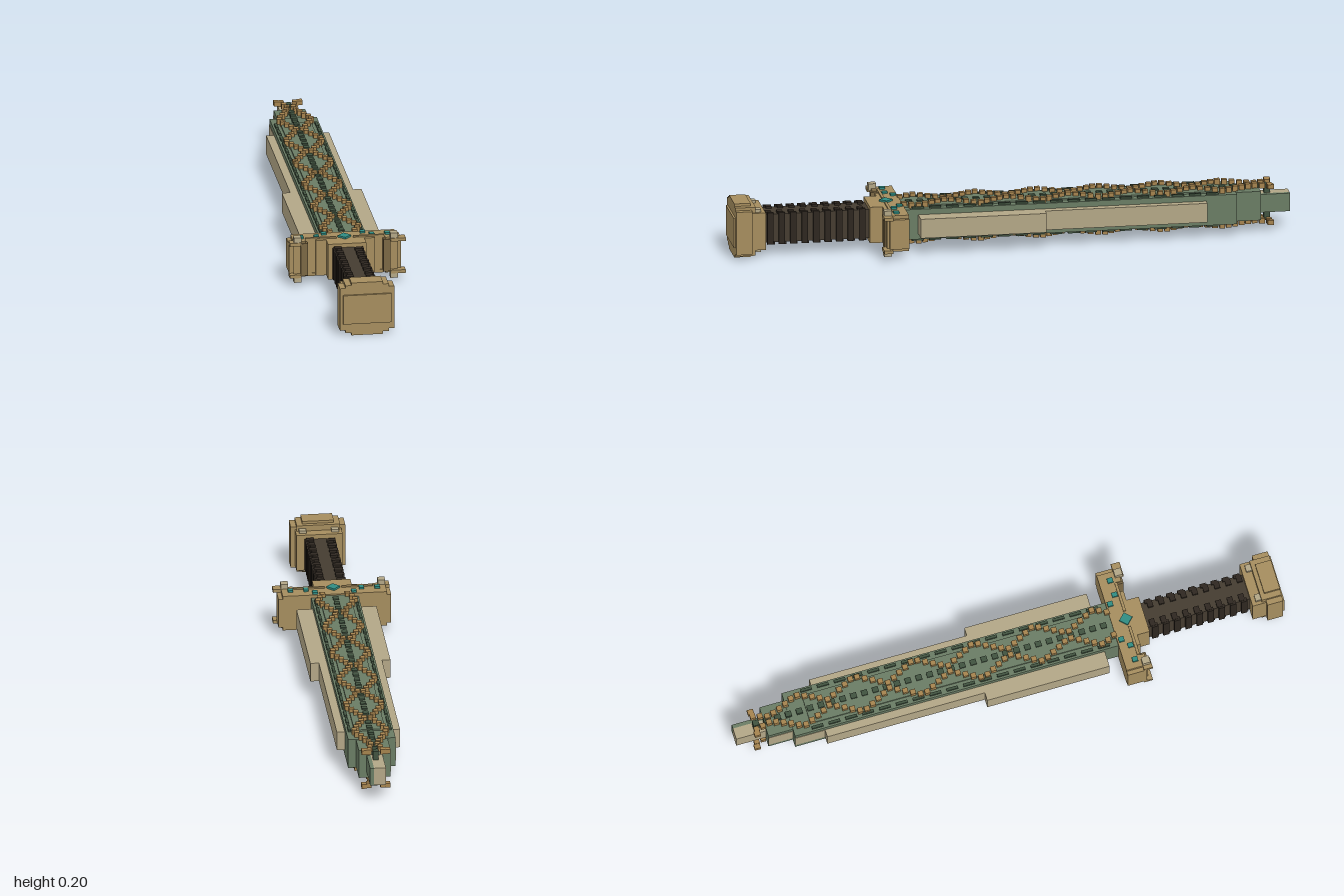
import * as THREE from 'three';

const mat = (name, hex) => {
  const m = new THREE.MeshStandardMaterial({ color: hex });
  m.name = name;
  return m;
};

export function createModel() {
  const model = new THREE.Group();
  model.name = 'shortSword';
  const bronze = mat('bronze', 0xa58d5e), steel = mat('paleSteel', 0xb2a686);
  const green = mat('bladeGreen', 0x6a7c64), deepGreen = mat('deepGreen', 0x40523f);
  const teal = mat('teal', 0x2f8c82), leather = mat('leather', 0x453c30);
  const wrap = mat('darkWrap', 0x2e2720), shade = mat('darkBronze', 0x7a6744);
  const gold = mat('goldBead', 0xa5834e);

  const CX = -0.008, CY = 0.0985;
  const sub = (name) => {
    const g = new THREE.Group();
    g.name = name;
    g.position.set(CX, CY, 0);
    model.add(g);
    return g;
  };
  // Box given by its limits, relative to the sword's axis
  const box = (parent, name, m, x0, x1, y0, y1, z0, z1) => {
    const mesh = new THREE.Mesh(new THREE.BoxGeometry(x1 - x0, y1 - y0, z1 - z0), m);
    mesh.position.set((x0 + x1) / 2, (y0 + y1) / 2, (z0 + z1) / 2);
    mesh.name = name;
    parent.add(mesh);
    return mesh;
  };
  const block = (parent, name, m, hx, hy, z0, z1) => box(parent, name, m, -hx, hx, -hy, hy, z0, z1);

  // Blade: stepped green core with pale cutting edges
  const blade = sub('blade');
  block(blade, 'bladeCore', green, 0.084, 0.055, -0.8, 0.4);
  block(blade, 'bladeTaper', green, 0.056, 0.053, -0.89, -0.8);
  box(blade, 'tipEdge', steel, -0.028, 0.014, -0.033, 0.033, -1, -0.89);
  box(blade, 'tipBack', green, 0.014, 0.028, -0.033, 0.033, -1, -0.89);
  for (const s of [-1, 1]) {
    const edge = (name, a, b, h, z0, z1) =>
      box(blade, name, steel, Math.min(s * a, s * b), Math.max(s * a, s * b), -h, h, z0, z1);
    edge('outerEdge', 0.08, 0.142, 0.035, -0.11, 0.34);
    edge('innerEdge', 0.08, 0.112, 0.035, -0.69, -0.11);
  }
  box(blade, 'tipFlank', steel, -0.0855, -0.084, -0.035, 0.035, -0.8, -0.69);
  box(blade, 'tipFlank', steel, -0.0575, -0.056, -0.035, 0.035, -0.89, -0.8);

  // Ornament on both flats
  const ornament = sub('bladeOrnament');
  const halfWidth = (z) => (z > -0.69 ? 0.068 : 0.068 - (-0.69 - z) * 0.12);
  for (const s of [-1, 1]) {
    const plate = (name, m, x, z, w, l, y0, y1) =>
      box(ornament, name, m, x - w / 2, x + w / 2, Math.min(s * y0, s * y1), Math.max(s * y0, s * y1), z - l / 2, z + l / 2);
    plate('raisedPanel', green, 0, -0.17, 0.11, 1.13, 0.05, 0.061);
    for (let z = 0.36; z > -0.93; z -= 0.04) plate('spineStud', deepGreen, 0, z, 0.02, 0.022, 0.03, 0.066);
    for (let i = 0; i < 18; i++) {
      for (const side of [-1, 1]) plate('borderDash', deepGreen, side * 0.072, 0.34 - i * 0.062, 0.01, 0.042, 0.05, 0.062);
    }
    // Two crossing bead chains
    for (let i = 0; i < 54; i++) {
      const z = 0.385 - i * 0.0247;
      const t = Math.abs((((z - 0.23) / 0.22) % 1 + 1) % 1 - 0.5) * 2;
      const x = 0.01 + (1 - t) * (halfWidth(z) - 0.01);
      for (const side of [-1, 1]) plate('latticeBead', gold, side * x, z, 0.018, 0.019, 0.055, 0.074);
    }
    for (const side of [-1, 1]) plate('tipBead', gold, side * 0.042, -0.927, 0.018, 0.022, 0.058, 0.074);
  }

  // Guard: bar, recessed panels, end blocks and lugs
  const guard = sub('guard');
  block(guard, 'guardBar', bronze, 0.15, 0.066, 0.39, 0.45);
  block(guard, 'guardCollar', bronze, 0.068, 0.066, 0.39, 0.51);
  block(guard, 'guardShoulder', bronze, 0.105, 0.066, 0.39, 0.465);
  for (const s of [-1, 1]) {
    const part = (name, m, a, b, y0, y1, z0, z1) =>
      box(guard, name, m, Math.min(s * a, s * b), Math.max(s * a, s * b), y0, y1, z0, z1);
    part('endBlock', bronze, 0.142, 0.185, -0.066, 0.066, 0.39, 0.468);
    part('endCap', bronze, 0.185, 0.2, -0.054, 0.054, 0.39, 0.46);
    part('endPanel', shade, 0.135, 0.16, -0.06, 0.06, 0.45, 0.474);
    for (const v of [-1, 1]) {
      const flat = (name, m, a, b, y0, y1, z0, z1) => part(name, m, a, b, Math.min(v * y0, v * y1), Math.max(v * y0, v * y1), z0, z1);
      flat('cornerLug', steel, 0.159, 0.185, 0.06, 0.084, 0.45, 0.478);
      flat('cornerTab', bronze, 0.16, s > 0 ? 0.213 : 0.2, 0.054, 0.066, 0.45, 0.482);
      flat('sideGem', teal, 0.145, 0.163, 0.06, 0.073, 0.42, 0.44);
      flat('innerGem', teal, 0.09, 0.107, 0.06, 0.073, 0.42, 0.44);
      flat('rootGem', teal, 0.06, 0.078, 0.06, 0.073, 0.395, 0.415);
      flat('guardRidge', bronze, 0.03, 0.14, 0.06, 0.071, 0.442, 0.452);
    }
  }
  for (const v of [-1, 1]) {
    const gem = box(guard, 'centreGem', teal, -0.017, 0.017, -0.006, 0.006, -0.017, 0.017);
    gem.position.set(0, v * 0.067, 0.442);
    gem.rotation.y = Math.PI / 4;
  }

  // Grip with staggered wrapping
  const grip = sub('grip');
  block(grip, 'gripCore', leather, 0.047, 0.052, 0.48, 0.89);
  for (let i = 0; i < 9; i++) {
    const z = 0.535 + i * 0.041;
    for (const s of [-1, 1]) {
      box(grip, 'wrapSide', wrap, s > 0 ? 0.04 : -0.054, s > 0 ? 0.054 : -0.04, -0.058, 0.058, z - 0.011, z + 0.011);
      for (const v of [-1, 1]) {
        const zz = z + s * v * 0.006;
        box(grip, 'wrapKnot', wrap, s > 0 ? 0.022 : -0.048, s > 0 ? 0.048 : -0.022,
          v > 0 ? 0.05 : -0.06, v > 0 ? 0.06 : -0.05, zz - 0.01, zz + 0.01);
      }
    }
  }

  // Pommel: stacked stepped slabs
  const pommel = sub('pommel');
  block(pommel, 'pommelNeck', bronze, 0.082, 0.068, 0.885, 0.96);
  block(pommel, 'pommelWide', bronze, 0.097, 0.079, 0.935, 0.993);
  block(pommel, 'pommelStep', bronze, 0.077, 0.089, 0.92, 0.993);
  block(pommel, 'pommelCrown', bronze, 0.056, 0.0985, 0.935, 0.993);
  block(pommel, 'pommelFace', bronze, 0.086, 0.054, 0.993, 1);
  for (const s of [-1, 1]) for (const v of [-1, 1]) {
    box(pommel, 'pommelStud', steel, s > 0 ? 0.045 : -0.07, s > 0 ? 0.07 : -0.045,
      v > 0 ? 0.06 : -0.078, v > 0 ? 0.078 : -0.06, 0.9, 0.92);
  }
  return model;
}
